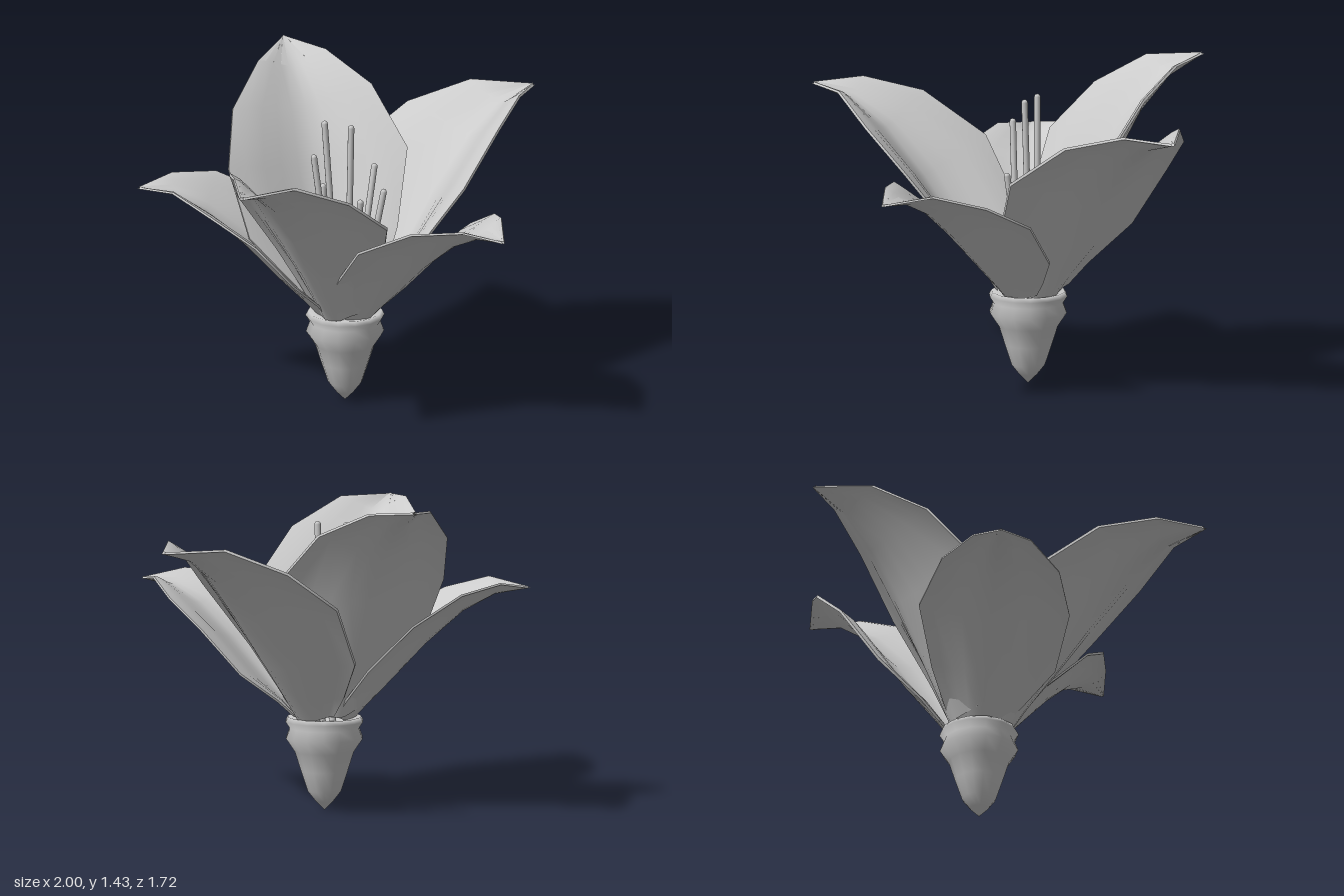
import * as THREE from 'three';
import { toCreasedNormals } from 'three/addons/utils/BufferGeometryUtils.js';

const material = new THREE.MeshStandardMaterial({ color: 0xcccccc, side: THREE.DoubleSide });
const CENTRE = new THREE.Vector3(-0.04, 0.42, -0.1);

// Petal cross-sections from base to tip; each point is [along, up, sideways]:
// left edge, midrib, right edge
const ROWS = [
  [[0.09, -0.03, -0.15], [0.1, -0.095, 0], [0.05, 0.0, 0.16]],
  [[0.17, 0.02, -0.235], [0.23, -0.06, 0], [0.14, 0.055, 0.21]],
  [[0.36, 0.09, -0.4], [0.42, -0.015, 0], [0.32, 0.14, 0.29]],
  [[0.666, 0.187, -0.458], [0.68, 0.052, 0], [0.655, 0.235, 0.387]],
  [[0.95, 0.18, -0.374], [0.95, 0.095, 0], [0.98, 0.22, 0.289]],
  [[1.18, 0.135, -0.19], [1.15, 0.08, 0], [1.2, 0.13, 0.14]],
  [[1.325, 0.005, -0.008], [1.332, 0.003, 0], [1.325, 0.005, 0.008]],
];
const STEPS = 10; // strips across a petal
const THICK = 0.012;

// Thin closed shell lofted through the cross-sections
function petalGeometry(leftBase, leftWidth, rightWidth) {
  const pos = [], index = [], ring = 2 * (STEPS + 1);
  ROWS.forEach(([left, mid, right], row) => {
    const top = [];
    for (let j = 0; j <= STEPS; j++) {
      const t = (2 * j) / STEPS - 1, a = Math.abs(t);
      const edge = t < 0 ? left : right;
      const width = t > 0 ? rightWidth : row < 3 ? leftBase : leftWidth;
      // rounded keel with gently flaring margins
      const lift = 0.3 * a + 0.7 * a * a * (3 - 2 * a);
      top.push([
        mid[0] + (edge[0] - mid[0]) * lift,
        mid[1] + (edge[1] - mid[1]) * lift,
        edge[2] * a * width,
      ]);
    }
    top.forEach((p) => pos.push(...p));
    top.reverse().forEach(([x, y, z]) => pos.push(x, y - THICK, z));
  });
  for (let i = 0; i < ROWS.length - 1; i++) {
    for (let j = 0; j < ring; j++) {
      const k = (j + 1) % ring;
      const a = i * ring + j, b = i * ring + k;
      index.push(a, b, a + ring, b, b + ring, a + ring);
    }
  }
  const geo = new THREE.BufferGeometry();
  geo.setAttribute('position', new THREE.Float32BufferAttribute(pos, 3));
  geo.setIndex(index);
  return toCreasedNormals(geo, 0.9);
}

function addMesh(parent, name, geometry) {
  const mesh = new THREE.Mesh(geometry, material);
  mesh.name = name;
  parent.add(mesh);
  return mesh;
}

export function createModel() {
  const flower = new THREE.Group();
  flower.name = 'flower';

  // Pointed cup below the petals, with a collar and a closed inner floor
  const profile = [
    [0, 0.005], [0.04, 0.045], [0.075, 0.09], [0.105, 0.18], [0.132, 0.265],
    [0.172, 0.325], [0.155, 0.37], [0.174, 0.4], [0.163, 0.42], [0.11, 0.41], [0, 0.4],
  ].map(([r, y]) => new THREE.Vector2(r, y));
  const cup = addMesh(flower, 'cup', new THREE.LatheGeometry(profile, 14));
  cup.position.set(CENTRE.x, 0, CENTRE.z);

  // Petals: [name, outward x, outward z, tilt in degrees, size,
  //          left width near the base, left width, right width]
  const petals = [
    ['leftPetal', 1.03, 0.07, 39, 1, 1, 1, 1],
    ['rightPetal', -0.96, 0.41, 39, 1.005, 0.72, 0.88, 0.88],
    ['backPetal', 0.3, -0.76, 51, 0.975, 1, 1, 0.98],
    ['frontPetal', 0.1, 0.95, 29.5, 0.825, 1, 1, 1],
    ['backRightPetal', -0.66, -0.62, 31.6, 0.8, 0.98, 0.98, 0.98],
  ];
  for (const [name, x, z, tilt, size, ...widths] of petals) {
    const petal = addMesh(flower, name, petalGeometry(...widths));
    petal.position.copy(CENTRE);
    petal.rotation.set(0, Math.atan2(-z, x), THREE.MathUtils.degToRad(tilt));
    petal.scale.setScalar(size);
  }

  // Stamens: [base x, base z, tip x, tip y, tip z]
  const stamens = new THREE.Group();
  stamens.name = 'stamens';
  flower.add(stamens);
  const filaments = [
    [-0.1, -0.09, -0.185, 1.15, -0.14],
    [-0.035, -0.15, -0.08, 1.27, -0.19],
    [-0.025, -0.1, -0.03, 1.27, -0.07],
    [0.02, -0.11, 0.165, 1.03, -0.14],
    [0, -0.06, 0.085, 0.97, 0.015],
    [-0.03, -0.07, -0.05, 0.95, 0.015],
    [-0.1, -0.18, -0.05, 0.96, -0.235],
  ];
  const up = new THREE.Vector3(0, 1, 0);
  for (const [bx, bz, tx, ty, tz] of filaments) {
    const base = new THREE.Vector3(bx, 0.39, bz), tip = new THREE.Vector3(tx, ty, tz);
    const along = tip.clone().sub(base);
    const stamen = addMesh(stamens, 'stamen', new THREE.CapsuleGeometry(0.014, along.length(), 3, 8));
    stamen.position.copy(base).add(tip).multiplyScalar(0.5);
    stamen.quaternion.setFromUnitVectors(up, along.normalize());
  }
  return flower;
}
